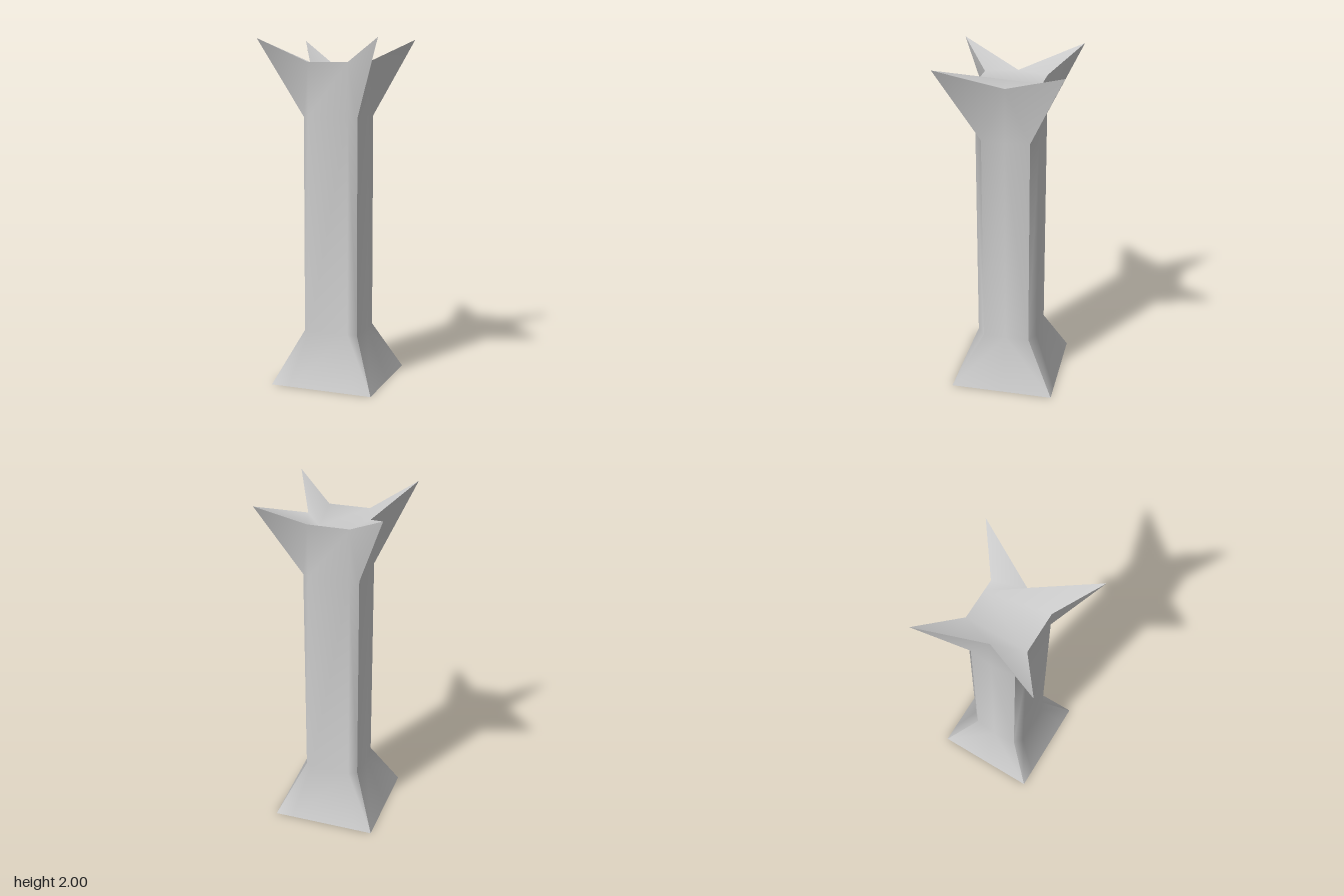
import * as THREE from 'three';

const material = new THREE.MeshStandardMaterial({ color: 0xcccccc, side: THREE.DoubleSide });

function makeMesh(name, points, index) {
  const geometry = new THREE.BufferGeometry();
  geometry.setAttribute('position', new THREE.Float32BufferAttribute(points.flat(), 3));
  geometry.setIndex(index.flat());
  geometry.computeVertexNormals();
  const mesh = new THREE.Mesh(geometry, material);
  mesh.name = name;
  return mesh;
}

// Smooth wall from rows of points (bottom to top); diagonals mirror about the middle.
function makePanel(name, rows) {
  const n = rows[0].length, index = [];
  for (let r = 0; r < rows.length - 1; r++) {
    for (let i = 0; i < n - 1; i++) {
      const a = r * n + i, b = a + 1, c = b + n, d = a + n;
      if (i < (n - 1) / 2) index.push([a, b, c], [a, c, d]);
      else index.push([a, b, d], [b, c, d]);
    }
  }
  return makeMesh(name, rows.flat(), index);
}

// Heights and half widths
const BASE = 0.305, WALL = 0.18, TIP = 0.352, RIM = 1.87;
const corners = [[BASE, 0, BASE], [0.163, 0.3, 0.138], [0.163, 1.56, 0.138], [TIP, 2, TIP]];
const shoulders = [[0.2, 0, BASE], [0.12, 0.31, WALL], [0.12, 1.56, WALL], [0.12, RIM, WALL]];
const middles = [[BASE, 0, 0], [WALL, 0.31, 0], [WALL, 1.56, 0], [WALL, RIM, 0]];
const flipX = ([x, y, z]) => [-x, y, z];
const flipZ = ([x, y, z]) => [x, y, -z];

export function createModel() {
  const group = new THREE.Group();
  group.name = 'flaredColumn';

  // Four walls, flaring into the foot below and the corner spikes above
  const frontRows = corners.map((c, i) => [flipX(c), flipX(shoulders[i]), shoulders[i], c]);
  const sideRows = corners.map((c, i) => [c, middles[i], flipZ(c)]);
  const front = makePanel('frontWall', frontRows);
  const back = makePanel('backWall', frontRows);
  const left = makePanel('leftWall', sideRows);
  const right = makePanel('rightWall', sideRows);
  back.rotation.y = right.rotation.y = Math.PI;
  group.add(front, back, left, right);

  // Top surface, folded up to the four spike tips
  const t = corners[3], s = shoulders[3], m = middles[3];
  const topPoints = [
    t, flipX(t), flipZ(t), flipX(flipZ(t)),
    s, flipX(s), flipZ(s), flipX(flipZ(s)),
    m, flipX(m), [0.05, RIM, -WALL],
  ];
  group.add(makeMesh('top', topPoints, [
    [0, 8, 10], [8, 6, 10], [8, 2, 6], [4, 0, 10], [5, 4, 10],
    [5, 10, 7], [9, 5, 7], [1, 5, 9], [9, 7, 3],
  ]));

  // Underside
  const bottom = new THREE.Mesh(new THREE.PlaneGeometry(2 * BASE, 2 * BASE), material);
  bottom.name = 'bottom';
  bottom.rotation.x = Math.PI / 2;
  group.add(bottom);

  return group;
}
